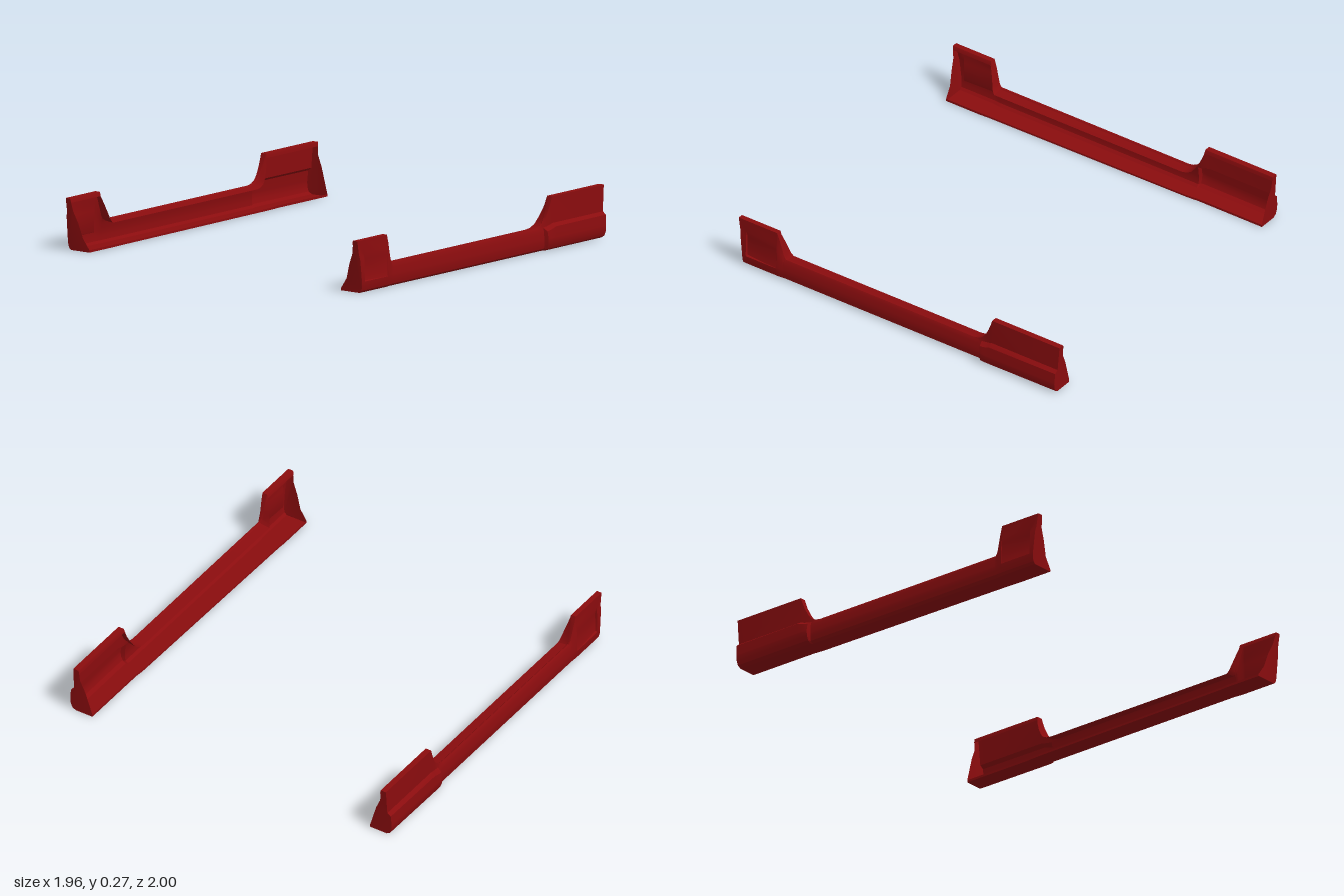
import * as THREE from 'three';
import { toCreasedNormals } from 'three/addons/utils/BufferGeometryUtils.js';

const paint = new THREE.MeshStandardMaterial({ color: 0x8a0c0e, side: THREE.DoubleSide });

// Open sheet profiles [x, y]: floor lip, floor, outer wall, top edge, inner flange
const mid = inner => [[inner, .01], [inner, 0], [.935, 0], [.95, .012], [.954, .035], [.954, .058], [.953, .066],
  [.95, .1], [.944, .117], [.941, .122], [.934, .122], [.928, .116], [.876, .11]];
const front = [[.82, .012], [.82, 0], [.94, 0], [.953, .012], [.958, .035], [.959, .058], [.959, .062],
  [.957, .172], [.951, .205], [.95, .272], [.922, .272], [.919, .266], [.916, .25]];
const rear = [[.842, .012], [.842, 0], [.935, 0], [.95, .012], [.954, .035], [.954, .058], [.953, .066],
  [.952, .12], [.95, .135], [.948, .272], [.916, .272], [.914, .266], [.912, .25]];

// Inner edge of the end plates, from top to bottom
const plateEdge = [[.91, .205], [.883, .145], [.859, .068]];

// Front profile with its side field sunk inwards; rear profile with its lower wall bulged
const sunk = depth => front.map(([x, y], i) => [i === 6 || i === 7 ? x - depth : x, y]);
const bulge = [0, 0, .01, .016, .022, .024, .025, .021];
const bulged = k => rear.map(([x, y], i) => [x + k * (bulge[i] || 0), y]);

const blend = (a, b, t) => a.map((p, i) => [p[0] + (b[i][0] - p[0]) * t, p[1] + (b[i][1] - p[1]) * t]);
const at = (z, pts, lean = 0) => pts.map(([x, y]) => [x, y, z + lean * Math.pow(y / .272, 1.6)]);

// Mesh from a flat list of corners, mirrored for the right side
function part(name, corners, side) {
  const pos = [];
  for (let i = 0; i < corners.length; i += 3) {
    const [a, b, c] = corners.slice(i, i + 3);
    for (const p of side > 0 ? [a, b, c] : [a, c, b]) pos.push(p[0] * side, p[1], p[2]);
  }
  const g = new THREE.BufferGeometry();
  g.setAttribute('position', new THREE.Float32BufferAttribute(pos, 3));
  const mesh = new THREE.Mesh(toCreasedNormals(g, .5), paint);
  mesh.name = name;
  return mesh;
}

// Sheet skinned over rings that run from back to front
function sheet(rings) {
  const out = [];
  for (let k = 0; k < rings.length - 1; k++) {
    const A = rings[k], B = rings[k + 1];
    for (let i = 0; i < A.length - 1; i++)
      out.push(A[i], A[i + 1], B[i + 1], A[i], B[i + 1], B[i]);
  }
  return out;
}

// End plate filling a profile, with a concave inner edge
function plate(z, profile, lean) {
  const outline = [...profile.slice(0, 11), ...plateEdge];
  const ring = at(z, outline, lean);
  const faces = THREE.ShapeUtils.triangulateShape(outline.map(p => new THREE.Vector2(...p)), []);
  return faces.flatMap(([a, b, c]) => lean > 0 ? [ring[a], ring[b], ring[c]] : [ring[a], ring[c], ring[b]]);
}

function sill(side) {
  const g = new THREE.Group();
  g.name = side > 0 ? 'leftSill' : 'rightSill';
  const midRear = mid(.836), midFront = mid(.823);

  // Rear block with the bulged fairing, then the curved drop to the door step
  const rings = [at(-.985, bulged(.85), -.015), at(-.58, bulged(1)), at(-.57, blend(midRear, bulged(1), .8)),
    at(-.555, blend(midRear, bulged(1), .55))];
  const step = (z, t, k) => at(z, blend(midRear, rear, t).map(([x, y], i) => [x + k * (bulge[i] || 0), y]));
  rings[2] = step(-.57, .8, 1);
  rings[3] = step(-.555, .55, 1);
  rings.push(step(-.535, .3, 1), step(-.518, .15, .9), step(-.512, .12, 0), step(-.49, .04, 0), step(-.46, 0, 0));
  // Steep rise to the front block
  for (const [z, t] of [[.71, 0], [.722, .12], [.733, .4], [.746, .72], [.76, 1]])
    rings.push(at(z, blend(midFront, front, t)));
  // Side recess, deepest at its front edge, then the leaning front end
  rings.push(at(.762, sunk(.002)), at(.948, sunk(.012)), at(.95, front), at(.97, front, .03));
  g.add(part('sillShell', sheet(rings), side));

  g.add(part('frontEndPlate', plate(.97, front, .03), side));
  g.add(part('rearEndPlate', plate(-.985, bulged(.85), -.015), side));
  return g;
}

export function createModel() {
  const model = new THREE.Group();
  model.name = 'sideSills';
  model.add(sill(1), sill(-1));
  return model;
}
